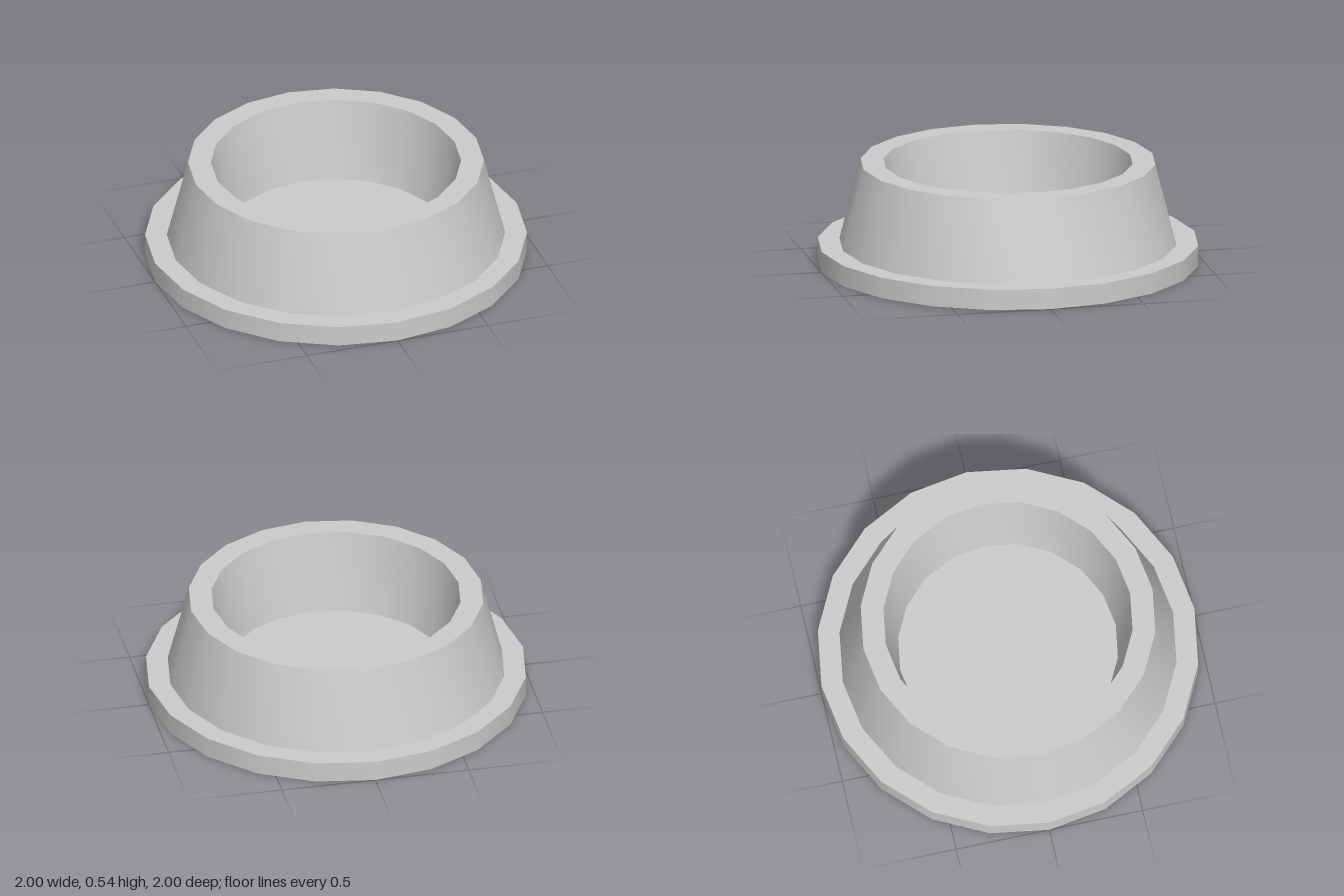
import * as THREE from 'three';
import { toCreasedNormals } from 'three/addons/utils/BufferGeometryUtils.js';

const SIDES = 20;
const BASE_TOP = 0.11;
const RIM_TOP = 0.543;

export function createModel() {
  const group = new THREE.Group();
  group.name = 'bowl';
  const material = new THREE.MeshStandardMaterial({ color: 0xcccccc });

  // Flat disc: its top is also the floor inside the wall
  const baseGeometry = new THREE.CylinderGeometry(1, 1, BASE_TOP, SIDES);
  baseGeometry.translate(0, BASE_TOP / 2, 0);
  const base = new THREE.Mesh(baseGeometry, material);
  base.name = 'base';
  group.add(base);

  // Tapered wall: outer face, flat rim, inner face sloping in to the floor
  const profile = [
    [0.886, BASE_TOP],
    [0.775, RIM_TOP],
    [0.655, RIM_TOP],
    [0.578, BASE_TOP],
  ].map(([r, y]) => new THREE.Vector2(r, y));
  const wallGeometry = toCreasedNormals(new THREE.LatheGeometry(profile, SIDES), Math.PI / 6);
  const wall = new THREE.Mesh(wallGeometry, material);
  wall.name = 'wall';
  group.add(wall);

  return group;
}
